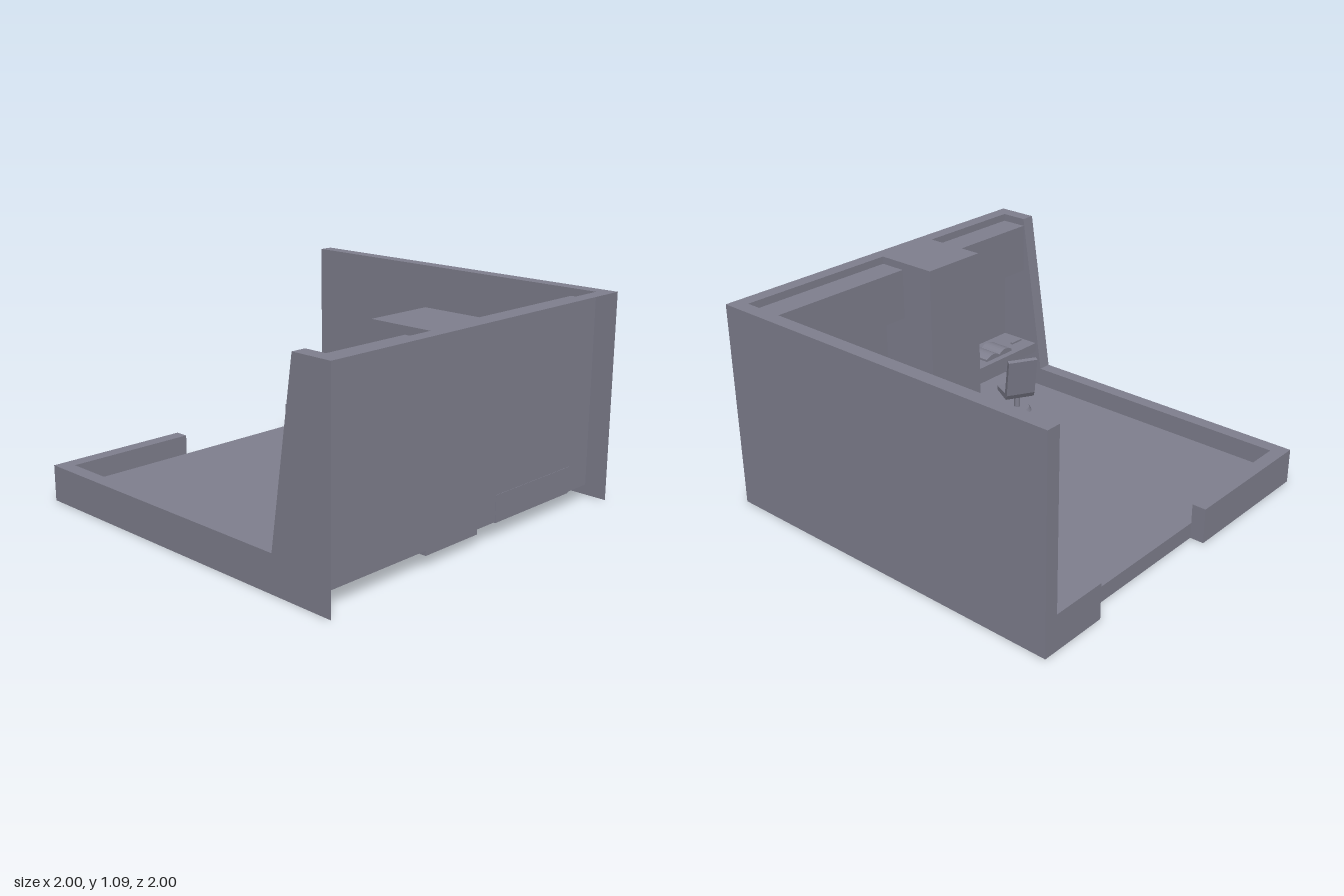
import * as THREE from 'three';

export function createModel() {
  const room = new THREE.Group();
  room.name = 'bedroom';
  const grey = new THREE.MeshStandardMaterial({ color: 0x80808f, side: THREE.DoubleSide });
  grey.name = 'slate grey';

  const add = (name, geometry, parent = room) => {
    const mesh = new THREE.Mesh(geometry, grey);
    mesh.name = name;
    parent.add(mesh);
    return mesh;
  };
  // box given by its limits on each axis
  const box = (name, x0, x1, y0, y1, z0, z1, parent = room) => {
    const mesh = add(name, new THREE.BoxGeometry(x1 - x0, y1 - y0, z1 - z0), parent);
    mesh.position.set((x0 + x1) / 2, (y0 + y1) / 2, (z0 + z1) / 2);
    return mesh;
  };
  // flat convex panel from its corners
  const panel = (name, ...corners) => {
    const g = new THREE.BufferGeometry();
    const p = [];
    for (let i = 1; i < corners.length - 1; i++) p.push(...corners[0], ...corners[i], ...corners[i + 1]);
    g.setAttribute('position', new THREE.Float32BufferAttribute(p, 3));
    g.computeVertexNormals();
    return add(name, g);
  };

  const I = 0.925, F = 0.085, L = 0.19, H = 1.09; // inner face, floor, low wall, full height
  const G0 = -0.2, G1 = 0.62, S0 = 0.645, S1 = 0.78; // doorway limits, sloping wall end

  // floor and doorway riser
  panel('floor', [-I, F, I], [I, F, I], [I, F, -I], [-I, F, -I]);
  panel('doorStep', [G0, 0, -I], [G0, F, -I], [G1, F, -I], [G1, 0, -I]);

  // full-height wall on the left
  panel('leftWallOuter', [1, 0, 1], [1, 0, -1], [1, H, -1], [1, H, 1]);
  panel('leftWallInner', [I, F, I], [I, H, I], [I, H, -1], [I, L, -1], [I, F, -I]);
  panel('leftWallTop', [I, H, 1], [1, H, 1], [1, H, -1], [I, H, -1]);
  panel('leftWallEnd', [I, L, -1], [I, H, -1], [1, H, -1], [1, L, -1]);

  // front wall, open on its outer side
  panel('frontWallInner', [-I, F, I], [-I, H, I], [I, H, I], [I, F, I]);
  panel('frontWallTop', [-1, H, 1], [I, H, 1], [I, H, I], [-1, H, I]);

  // right wall: low, with a sloping rise to full height
  for (const [name, x, y, z] of [['rightWallOuter', -1, 0, 1], ['rightWallInner', -I, F, I]]) {
    panel(name + 'Low', [x, y, -z], [x, y, S0], [x, L, S0], [x, L, -z]);
    panel(name + 'Tall', [x, y, S0], [x, y, z], [x, H, z], [x, H, S1], [x, L, S0]);
  }
  panel('rightWallLowTop', [-1, L, S0], [-I, L, S0], [-I, L, -1], [-1, L, -1]);
  panel('rightWallSlope', [-1, L, S0], [-1, H, S1], [-I, H, S1], [-I, L, S0]);
  panel('rightWallTop', [-1, H, I], [-I, H, I], [-I, H, S1], [-1, H, S1]);

  // low back wall on both sides of the doorway
  for (const [name, a, b, ia, ib, jamb] of [
    ['backWallRight', -1, G0, -I, G0, G0], ['backWallLeft', G1, 1, G1, I, G1]]) {
    panel(name + 'Outer', [a, 0, -1], [a, L, -1], [b, L, -1], [b, 0, -1]);
    panel(name + 'Inner', [ia, F, -I], [ib, F, -I], [ib, L, -I], [ia, L, -I]);
    panel(name + 'Top', [ia, L, -I], [ib, L, -I], [ib, L, -1], [ia, L, -1]);
    panel(name + 'Jamb', [jamb, 0, -1], [jamb, 0, -I], [jamb, L, -I], [jamb, L, -1]);
  }

  // tall wardrobe column and wall cabinets
  box('wardrobe', -0.325, 0.04, 0.06, H, 0.58, I);
  box('cabinetLeft', 0.04, I, 0.78, 1.05, 0.78, I);
  box('cabinetRight', -I, -0.325, 0.78, 1.05, 0.78, I);

  // bed
  const bed = new THREE.Group();
  bed.name = 'bed';
  room.add(bed);
  box('bedBase', 0.175, 0.765, 0.08, 0.22, -0.035, I + 0.002, bed);
  box('footboard', 0.175, 0.765, 0.22, 0.305, -0.035, 0, bed);
  box('mattress', 0.21, 0.73, 0.22, 0.31, 0, I, bed);

  // pillow: a box puffed up towards its middle
  const pillowGeo = new THREE.BoxGeometry(2, 2, 2, 14, 4, 12);
  const pp = pillowGeo.attributes.position;
  for (let i = 0; i < pp.count; i++) {
    const x = pp.getX(i), y = pp.getY(i), z = pp.getZ(i);
    const puff = 0.25 + 0.75 * Math.sqrt(Math.max(0, (1 - x ** 4) * (1 - z ** 4)));
    pp.setXYZ(i, x * 0.14 * (1 - 0.06 * (1 - z * z)), y * 0.038 * puff, z * 0.1 * (1 - 0.06 * (1 - x * x)));
  }
  pillowGeo.computeVertexNormals();
  add('pillow', pillowGeo, bed).position.set(0.48, 0.35, 0.745);

  // desk
  box('desk', -I - 0.002, -0.325, 0.29, 0.345, 0.685, I);

  // open book with curved pages
  const page = new THREE.Shape();
  page.moveTo(-0.108, 0);
  page.lineTo(-0.108, 0.012);
  page.bezierCurveTo(-0.07, 0.035, -0.03, 0.04, 0, 0.01);
  page.bezierCurveTo(0.03, 0.04, 0.07, 0.035, 0.108, 0.012);
  page.lineTo(0.108, 0);
  const book = add('openBook', new THREE.ExtrudeGeometry(page, { depth: 0.14, bevelEnabled: false, curveSegments: 8 }));
  book.position.set(-0.643, 0.345, 0.72);

  // small items on the desk
  box('pen', -0.9, -0.82, 0.345, 0.355, 0.775, 0.79);
  const stand = new THREE.Group();
  stand.name = 'bookStand';
  stand.position.set(-0.42, 0.345, 0.83);
  room.add(stand);
  box('standBase', -0.06, 0.065, 0, 0.04, -0.055, 0.055, stand);
  for (const [x, h, lean] of [[-0.035, 0.19, 0.12], [0.01, 0.17, -0.1]]) {
    const b = box('standingBook', -0.015, 0.015, 0, h, -0.05, 0.05, stand);
    b.position.x = x;
    b.position.y += 0.02;
    b.rotation.z = lean;
  }

  // swivel chair
  const chair = new THREE.Group();
  chair.name = 'chair';
  chair.position.set(-0.583, 0, 0.533);
  chair.rotation.y = -0.515;
  room.add(chair);
  const side = new THREE.Shape([
    [-0.105, 0.43], [-0.08, 0.435], [-0.03, 0.215], [0.105, 0.205], [0.105, 0.18], [-0.045, 0.18], [-0.062, 0.21]
  ].map(([z, y]) => new THREE.Vector2(-z, y)));
  const shell = new THREE.ExtrudeGeometry(side, { depth: 0.168, bevelEnabled: false });
  shell.translate(0, 0, -0.084).rotateY(Math.PI / 2);
  add('seatAndBackrest', shell, chair);
  add('chairStem', new THREE.CylinderGeometry(0.018, 0.018, 0.09, 12), chair).position.y = 0.14;
  add('chairFoot', new THREE.CylinderGeometry(0.07, 0.085, 0.025, 16), chair).position.y = 0.0955;

  return room;
}
